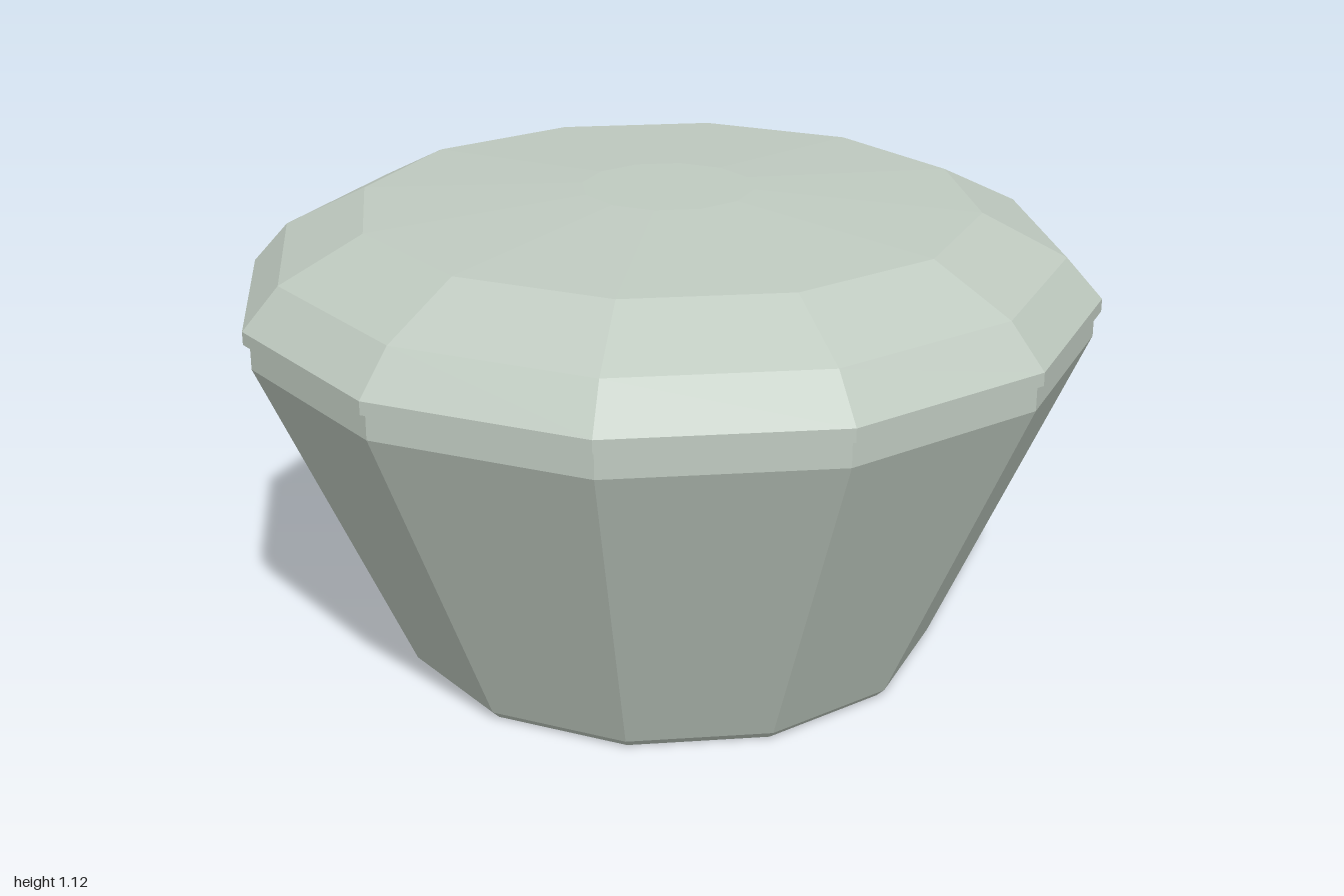
import * as THREE from 'three';

const SIDES = 12;

export function createModel() {
  const group = new THREE.Group();
  const paleSage = new THREE.MeshStandardMaterial({ color: 0xbfcac0 });
  paleSage.name = 'paleSage';

  // Turn a [radius, height] profile into a faceted twelve-sided solid
  function turned(name, profile) {
    const points = profile.map(([r, y]) => new THREE.Vector2(r, y));
    const geometry = new THREE.LatheGeometry(points, SIDES).toNonIndexed();
    geometry.computeVertexNormals(); // one flat normal per facet
    const mesh = new THREE.Mesh(geometry, paleSage);
    mesh.name = name;
    group.add(mesh);
  }

  // Tapered bowl with a small foot bevel and an upright rim
  turned('bowl', [[0, 0], [0.62, 0], [0.64, 0.02], [0.985, 0.8], [0.985, 0.86]]);

  // Overhanging lid with a thin band and a shallow dome
  turned('lid', [
    [0, 0.86], [1, 0.86], [1, 0.89], [0.915, 0.985],
    [0.72, 1.082], [0.2, 1.115], [0, 1.115],
  ]);

  return group;
}
